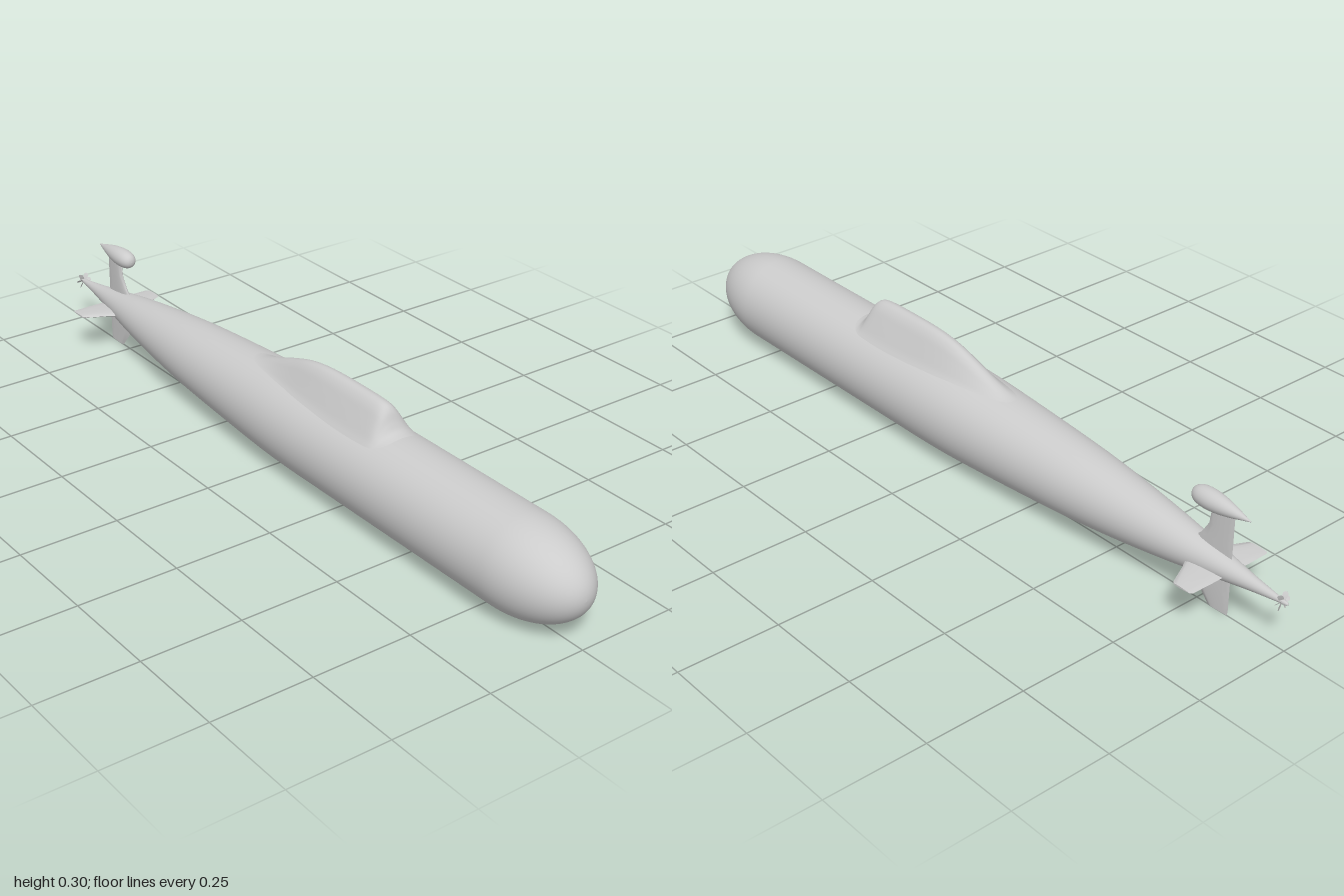
import * as THREE from 'three';
import { toCreasedNormals } from 'three/addons/utils/BufferGeometryUtils.js';

const AXIS_Y = 0.118; // height of the hull's centre line
const RADIUS = 0.114;
const material = new THREE.MeshStandardMaterial({ color: 0xcccccc, side: THREE.DoubleSide });

function mesh(name, geometry) {
  const m = new THREE.Mesh(geometry, material);
  m.name = name;
  return m;
}

// Smooth curve through [a, b] pairs, as sampled points
function smooth(pairs, count = 48) {
  return new THREE.SplineCurve(pairs.map(([a, b]) => new THREE.Vector2(a, b))).getPoints(count);
}

// Reads b at a given a along sampled points with increasing a
function lookup(points, a) {
  let i = 1;
  while (i < points.length - 1 && points[i].x < a) i++;
  const p = points[i - 1], q = points[i];
  const t = THREE.MathUtils.clamp((a - p.x) / (q.x - p.x), 0, 1);
  return p.y + (q.y - p.y) * t;
}

// Skin over rows of points; closed rows wrap round and get an end cap
function loft(rows, closed) {
  const n = rows[0].length, position = rows.flat(2), index = [];
  for (let r = 0; r < rows.length - 1; r++) {
    for (let j = 0; j < (closed ? n : n - 1); j++) {
      const k = (j + 1) % n, a = r * n + j, b = r * n + k;
      index.push(a, b, a + n, b, b + n, a + n);
    }
  }
  if (closed) {
    const base = (rows.length - 1) * n;
    for (let j = 1; j < n - 1; j++) index.push(base, base + j, base + j + 1);
  }
  const g = new THREE.BufferGeometry();
  g.setAttribute('position', new THREE.Float32BufferAttribute(position, 3));
  g.setIndex(index);
  g.computeVertexNormals();
  return g;
}

// Body of revolution lying along z, from [z, radius] points
function turned(points, segments) {
  const g = new THREE.LatheGeometry(points.map(p => new THREE.Vector2(Math.max(p.y, 0), p.x)), segments);
  return g.rotateX(Math.PI / 2);
}

// Fin growing along +x, from stations [span, leading z, trailing z, half thickness]
function finGeometry(stations) {
  const rows = stations.map(([x, lead, trail, thick]) => Array.from({ length: 20 }, (_, j) => {
    const t = j / 20 * Math.PI * 2, c = Math.cos(t);
    return [x, -Math.sin(t) * thick * (0.65 + 0.35 * c), (lead + trail) / 2 + c * (lead - trail) / 2];
  }));
  return toCreasedNormals(loft(rows, true), 0.9);
}

export function createModel() {
  const group = new THREE.Group();

  // Hull: tapering stern, straight middle, elliptical bow
  const hull = smooth([[-0.985, 0.005], [-0.9, 0.017], [-0.8, 0.034], [-0.7, 0.051], [-0.6, 0.065], [-0.5, 0.077],
    [-0.4, 0.087], [-0.3, 0.0945], [-0.2, 0.101], [-0.1, 0.107], [0, 0.112], [0.1, RADIUS], [0.2, RADIUS],
    [0.4, RADIUS], [0.6, RADIUS], [0.8, RADIUS]], 60);
  for (let i = 1; i <= 20; i++) {
    const t = i / 20 * Math.PI / 2;
    hull.push(new THREE.Vector2(0.8 + 0.2 * Math.sin(t), RADIUS * Math.cos(t)));
  }
  const hullMesh = mesh('hull', turned(hull, 64));
  hullMesh.position.y = AXIS_Y;
  group.add(hullMesh);

  // Sail: a ridge raised above the hull's skin, steep in front and long behind
  const crest = smooth([[-0.16, 0], [-0.12, 0.004], [-0.06, 0.02], [0, 0.039], [0.06, 0.056], [0.12, 0.065],
    [0.18, 0.068], [0.25, 0.068], [0.31, 0.067], [0.345, 0.063], [0.362, 0.051], [0.375, 0.026],
    [0.388, 0.008], [0.41, 0]], 90);
  const width = smooth([[-0.16, 0.03], [-0.05, 0.045], [0.08, 0.06], [0.2, 0.068], [0.3, 0.07], [0.41, 0.066]]);
  const section = smooth([[0, 1], [0.18, 0.95], [0.36, 0.79], [0.52, 0.56], [0.68, 0.33], [0.85, 0.11], [1, 0]]);
  const rows = crest.slice().reverse().map(({ x: z, y: height }) => {
    const r = lookup(hull, z), w = lookup(width, z);
    return Array.from({ length: 41 }, (_, j) => {
      const u = j / 20 - 1, x = u * w;
      const skin = AXIS_Y + Math.sqrt(r * r - x * x) - 0.001;
      return [x, skin + height * lookup(section, Math.abs(u)), z];
    });
  });
  group.add(mesh('sail', loft(rows, false)));

  // Stern planes, mirrored by turning half round the hull axis
  const plane = finGeometry([[0, -0.73, -0.84, 0.008], [0.035, -0.742, -0.84, 0.007],
    [0.06, -0.757, -0.84, 0.006], [0.112, -0.782, -0.839, 0.004], [0.118, -0.788, -0.835, 0.003]]);
  for (const [name, turn] of [['leftSternPlane', 0], ['rightSternPlane', Math.PI]]) {
    const m = mesh(name, plane);
    m.position.y = 0.11;
    m.rotation.z = turn;
    group.add(m);
  }

  // Rudders above and below the hull
  const upper = mesh('upperRudder', finGeometry([[0, -0.725, -0.84, 0.008], [0.035, -0.733, -0.84, 0.008],
    [0.055, -0.752, -0.84, 0.007], [0.085, -0.77, -0.84, 0.006], [0.14, -0.777, -0.84, 0.005]]));
  upper.rotation.z = Math.PI / 2;
  const lower = mesh('lowerRudder', finGeometry([[0, -0.725, -0.84, 0.008], [0.05, -0.735, -0.84, 0.008],
    [0.08, -0.75, -0.84, 0.006], [0.105, -0.771, -0.84, 0.004], [0.118, -0.782, -0.838, 0.003]]));
  lower.rotation.z = -Math.PI / 2;
  for (const rudder of [upper, lower]) {
    rudder.position.y = AXIS_Y;
    group.add(rudder);
  }

  // Teardrop pod on the upper rudder
  const pod = mesh('rudderPod', turned(smooth([[-0.885, 0], [-0.86, 0.007], [-0.83, 0.015], [-0.8, 0.021],
    [-0.77, 0.024], [-0.745, 0.0225], [-0.73, 0.017], [-0.723, 0.009], [-0.721, 0]], 40), 28));
  pod.position.y = 0.261;
  group.add(pod);

  // Propeller: hub and pitched blades
  const propeller = new THREE.Group();
  propeller.name = 'propeller';
  propeller.position.set(0, AXIS_Y, -0.983);
  propeller.add(mesh('propellerHub', turned(smooth([[-0.017, 0], [-0.013, 0.004], [0, 0.006], [0.01, 0.006]], 12), 16)));
  const blade = finGeometry([[0, 0.004, -0.004, 0.001], [0.01, 0.006, -0.006, 0.001],
    [0.018, 0.006, -0.006, 0.0008], [0.022, 0.003, -0.003, 0.0005]]).rotateX(0.8);
  for (let i = 0; i < 6; i++) {
    const m = mesh('propellerBlade', blade);
    m.rotation.z = i / 6 * Math.PI * 2;
    propeller.add(m);
  }
  group.add(propeller);

  return group;
}
